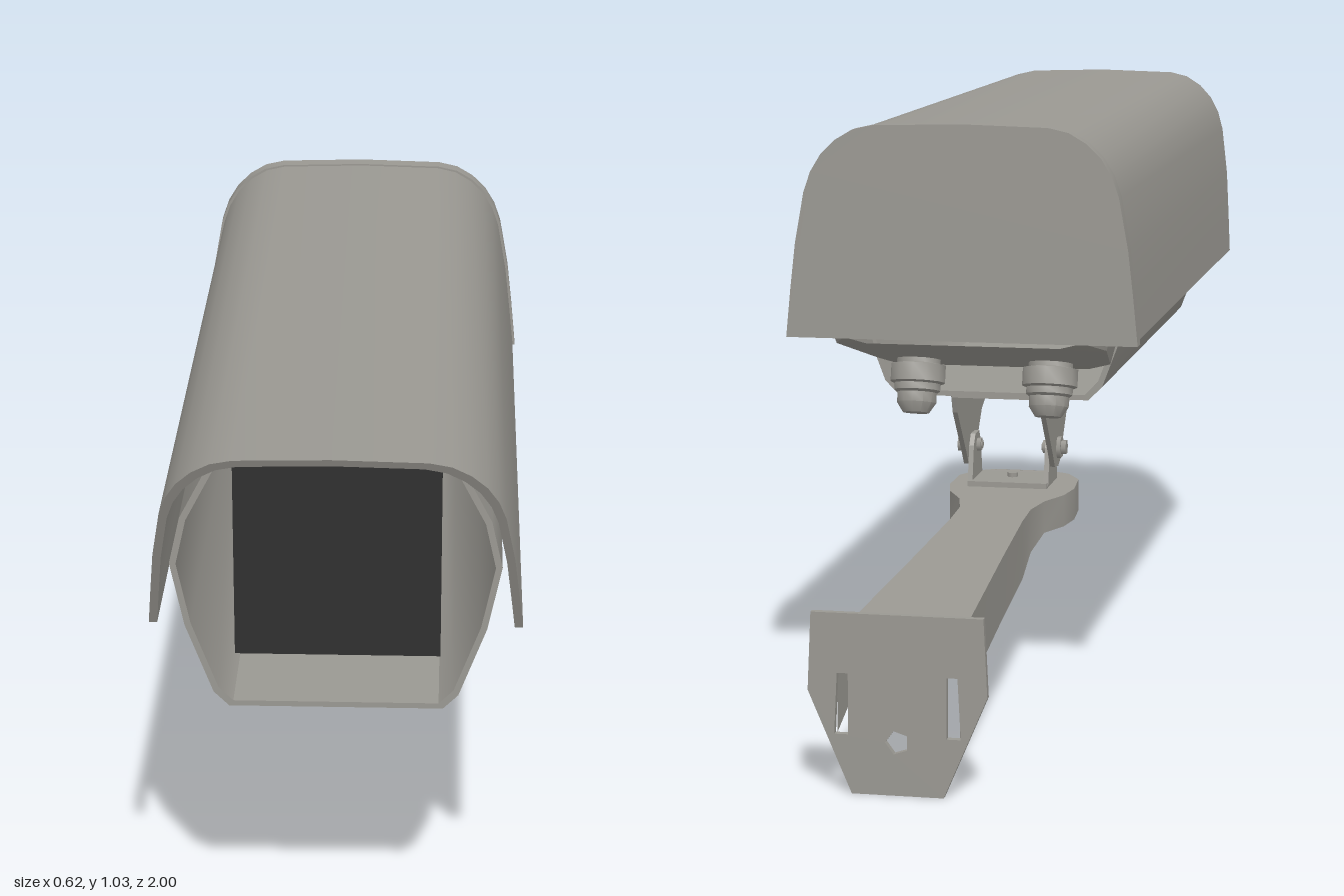
import * as THREE from 'three';
import { toCreasedNormals } from 'three/addons/utils/BufferGeometryUtils.js';

const grey = new THREE.MeshStandardMaterial({ color: 0x9a9892, side: THREE.DoubleSide });
grey.name = 'grey metal';
const black = new THREE.MeshStandardMaterial({ color: 0x2f2f2f });
black.name = 'black glass';

function add(parent, name, geometry, material = grey) {
  const mesh = new THREE.Mesh(geometry, material);
  mesh.name = name;
  parent.add(mesh);
  return mesh;
}

function box(w, h, d, x, y, z) {
  return new THREE.BoxGeometry(w, h, d).translate(x, y, z);
}

const toShape = (pts) => new THREE.Shape(pts.map(([x, y]) => new THREE.Vector2(x, y)));
const toPath = (pts) => new THREE.Path(pts.map(([x, y]) => new THREE.Vector2(x, y)));
// Right half, bottom to top, becomes a full outline
const mirror = (half) => [...half, ...half.filter(([x]) => x > 0).reverse().map(([x, y]) => [-x, y])];

function extrude(shape, depth) {
  return new THREE.ExtrudeGeometry(shape, { depth, bevelEnabled: false });
}

// Joins cross-sections that have equal numbers of points
function loft(rings, closed) {
  const n = rings[0].length;
  const pos = [];
  for (let i = 0; i < rings.length - 1; i++) {
    for (let j = 0; j < (closed ? n : n - 1); j++) {
      const k = (j + 1) % n;
      const a = rings[i][j], b = rings[i][k], c = rings[i + 1][k], d = rings[i + 1][j];
      pos.push(...a, ...b, ...c, ...a, ...c, ...d);
    }
  }
  const g = new THREE.BufferGeometry();
  g.setAttribute('position', new THREE.Float32BufferAttribute(pos, 3));
  g.computeVertexNormals();
  return toCreasedNormals(g, 0.5);
}

// Plate outlined in (z, y), standing at x
function sidePlate(pts, x, t, hole) {
  const shape = toShape(pts);
  if (hole) shape.holes.push(hole);
  return extrude(shape, t).rotateY(-Math.PI / 2).translate(x + t / 2, 0, 0);
}

function buildHousing(root) {
  const housing = new THREE.Group();
  housing.name = 'housing';
  root.add(housing);

  // Sun hood: bent sheet with a raked front edge
  const hoodHalf = [[0.303, 0.665], [0.295, 0.74], [0.286, 0.82], [0.27, 0.91], [0.258, 0.945],
    [0.24, 0.975], [0.215, 1.0], [0.185, 1.018], [0.15, 1.026], [0, 1.03]];
  const outer = mirror(hoodHalf);
  const inner = outer.map(([x, y]) => [x * 0.955, y < 0.67 ? y : 0.665 + (y - 0.665) * 0.965]);
  const hood = extrude(toShape([...outer, ...inner.reverse()]), 1);
  const p = hood.attributes.position;
  for (let i = 0; i < p.count; i++) {
    const front = 0.82 + ((p.getY(i) - 0.665) / 0.365) * 0.18;
    p.setZ(i, p.getZ(i) > 0.5 ? front : -0.49);
  }
  hood.computeVertexNormals();
  add(housing, 'sunHood', toCreasedNormals(hood, 0.6));

  // Rear cap, a little larger than the hood
  const capHalf = hoodHalf.map(([x, y]) => [x * 1.015, y < 0.67 ? 0.66 : y + 0.003]);
  add(housing, 'rearCap', toCreasedNormals(extrude(toShape(mirror(capHalf)), 0.03).translate(0, 0, -0.508), 0.6));

  // Camera body: open eight-sided sleeve
  const bodyHalf = [[0.175, 0.515], [0.2, 0.54], [0.245, 0.66], [0.268, 0.77], [0.25, 0.85],
    [0.19, 0.965], [0.15, 0.988]];
  const body = toShape(mirror(bodyHalf));
  body.holes.push(toPath(mirror(bodyHalf).map(([x, y]) => [x * 0.96, 0.75 + (y - 0.75) * 0.96])));
  add(housing, 'bodySleeve', toCreasedNormals(extrude(body, 1.04).translate(0, 0, -0.22), 0.5));

  // Tail of the body with a sloping floor
  const tailRing = (z, w, y) => mirror([[w - 0.04, y], [w, y + 0.01], [0.265, 0.77], [0.25, 0.85], [0.15, 0.985]])
    .map(([x, h]) => [x, h, z]);
  add(housing, 'bodyTail', loft([tailRing(-0.22, 0.215, 0.572), tailRing(-0.42, 0.24, 0.628),
    tailRing(-0.49, 0.21, 0.65)], true));

  add(housing, 'frontGlass', box(0.336, 0.342, 0.02, 0.002, 0.769, 0.785), black);

  // Cable glands, square to the sloping floor
  const glandProfile = [[0, 0.015], [0.04, 0.015], [0.04, -0.012], [0.05, -0.014], [0.05, -0.045], [0.042, -0.048],
    [0.042, -0.06], [0.036, -0.064], [0.036, -0.082], [0.024, -0.1], [0, -0.102]]
    .reverse().map(([x, y]) => new THREE.Vector2(x, y));
  for (const side of [-1, 1]) {
    const gland = add(housing, 'cableGland', toCreasedNormals(new THREE.LatheGeometry(glandProfile, 12).toNonIndexed(), 0.6));
    gland.position.set(side * 0.12, 0.597, -0.295);
    gland.rotation.x = 0.27;
  }
}

function buildYoke(root) {
  const yoke = new THREE.Group();
  yoke.name = 'yoke';
  root.add(yoke);
  add(yoke, 'upperYokePlate', box(0.17, 0.01, 0.31, 0, 0.51, -0.025));
  add(yoke, 'lowerYokePlate', box(0.15, 0.01, 0.11, 0, 0.327, -0.035));
  const ear = [[0.13, 0.512], [0.12, 0.47], [0.06, 0.445], [0.012, 0.39], [-0.005, 0.365], [-0.03, 0.355],
    [-0.065, 0.36], [-0.085, 0.385], [-0.165, 0.475], [-0.18, 0.512]];
  const tab = [[0.015, 0.325], [0, 0.395], [-0.015, 0.415], [-0.05, 0.415], [-0.065, 0.395], [-0.08, 0.325]];
  for (const side of [-1, 1]) {
    add(yoke, 'upperYokeEar', sidePlate(ear, side * 0.082, 0.009));
    add(yoke, 'lowerYokeTab', sidePlate(tab, side * 0.072, 0.009));
    // Pivot bolt with washer and nut
    for (const [r, len, x] of [[0.008, 0.045, 0.079], [0.022, 0.008, 0.09], [0.014, 0.01, 0.098], [0.013, 0.008, 0.063]]) {
      add(yoke, 'pivotBolt', new THREE.CylinderGeometry(r, r, len, 6).rotateZ(Math.PI / 2)
        .translate(side * x, 0.392, -0.033));
    }
  }
  add(yoke, 'upperScrew', new THREE.CylinderGeometry(0.015, 0.015, 0.01, 8).translate(0, 0.5, 0.0));
  add(yoke, 'lowerScrew', new THREE.CylinderGeometry(0.01, 0.01, 0.01, 8).translate(0, 0.335, -0.03));
}

function buildArm(root) {
  const arm = new THREE.Group();
  arm.name = 'wallArm';
  root.add(arm);

  // Hollow channel with a round head: [z, half width, bottom y]
  const stations = [[0.085, 0.055, 0.262], [0.068, 0.09, 0.261], [0.03, 0.115, 0.259], [-0.04, 0.119, 0.256],
    [-0.09, 0.108, 0.253], [-0.14, 0.08, 0.25], [-0.2, 0.066, 0.226], [-0.28, 0.066, 0.195],
    [-0.52, 0.076, 0.179], [-0.87, 0.093, 0.155], [-0.99, 0.1, 0.1]];
  const top = (z) => 0.322 - (0.085 - z) * 0.057;
  add(arm, 'armChannel', loft(stations.map(([z, w, b]) =>
    [[w, b, z], [w, top(z), z], [-w, top(z), z], [-w, b, z]]), false));
  add(arm, 'armHeadFront', box(0.11, 0.06, 0.004, 0, 0.292, 0.083));

  // Wall plate with a bolt hole and a slot at each side
  const plate = toShape(mirror([[0.075, 0.003], [0.146, 0.17], [0.14, 0.298]]));
  const ring = Array.from({ length: 5 }, (_, i) => {
    const a = (i / 5) * Math.PI * 2;
    return [0.02 * Math.cos(a), 0.09 + 0.02 * Math.sin(a)];
  });
  plate.holes.push(toPath(ring));
  for (const s of [-1, 1]) {
    plate.holes.push(toPath([[s * 0.08, 0.1], [s * 0.103, 0.1], [s * 0.098, 0.2], [s * 0.08, 0.2]]));
  }
  add(arm, 'wallPlate', extrude(plate, 0.012).translate(0, 0, -1));
}

export function createModel() {
  const root = new THREE.Group();
  root.name = 'securityCamera';
  buildHousing(root);
  buildYoke(root);
  buildArm(root);
  return root;
}
